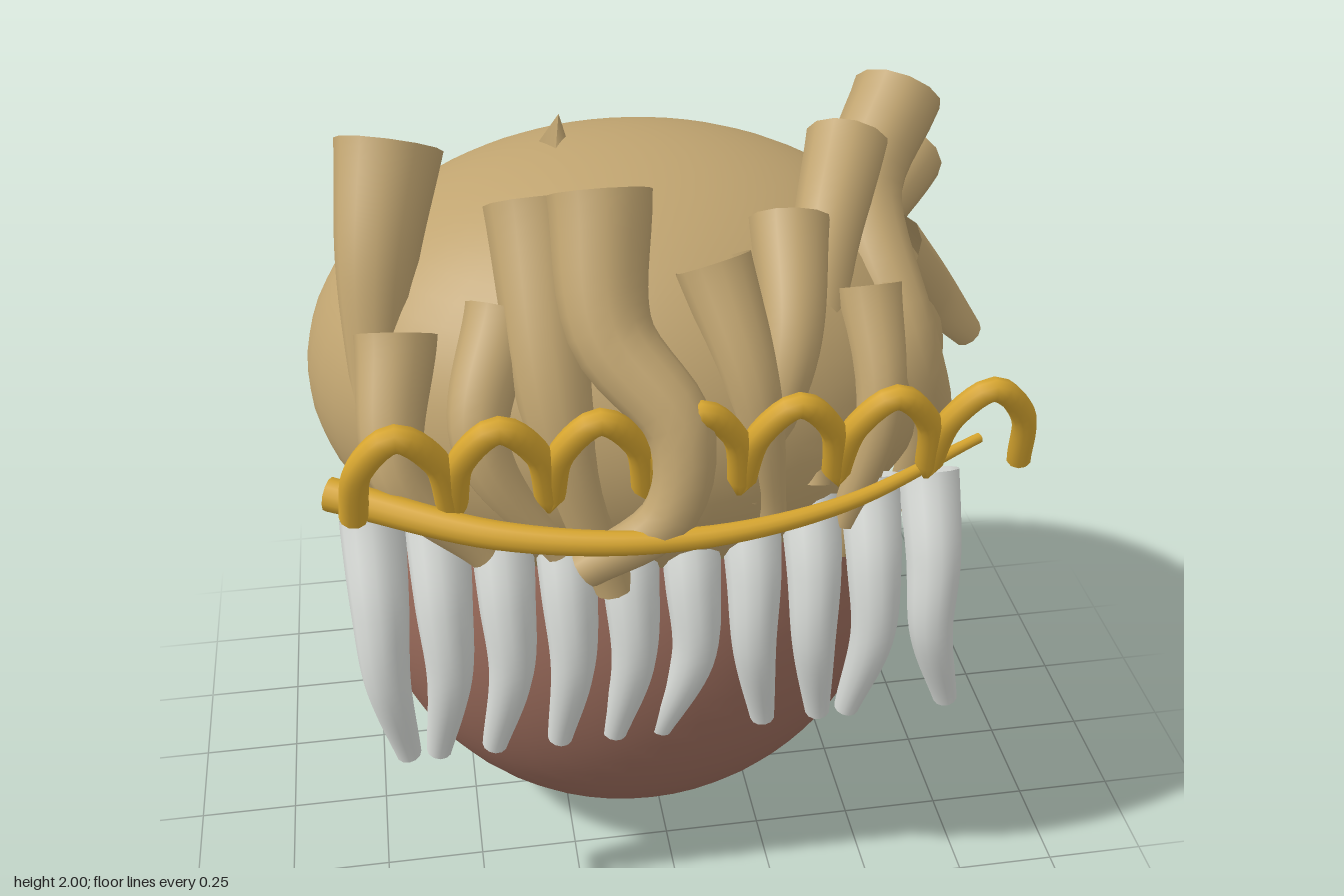
import * as THREE from 'three';

const paint = (name, color, side = THREE.FrontSide) => {
  const m = new THREE.MeshStandardMaterial({ color, side });
  m.name = name;
  return m;
};

// Open tube through the points whose radius runs from r0 to r1; bulge above 1 keeps it thick for longer
function taperedTube(points, r0, r1, { segments = 24, sides = 12, bulge = 1 } = {}) {
  const curve = new THREE.CatmullRomCurve3(points.map((p) => new THREE.Vector3(...p)));
  const geo = new THREE.TubeGeometry(curve, segments, 1, sides, false);
  const pos = geo.attributes.position;
  const v = new THREE.Vector3();
  for (let i = 0; i <= segments; i++) {
    const t = i / segments;
    const c = curve.getPointAt(t);
    const r = r0 + (r1 - r0) * Math.pow(t, bulge);
    for (let j = 0; j <= sides; j++) {
      const k = i * (sides + 1) + j;
      v.fromBufferAttribute(pos, k).sub(c).multiplyScalar(r).add(c);
      pos.setXYZ(k, v.x, v.y, v.z);
    }
  }
  return geo;
}

export function createModel() {
  const model = new THREE.Group();
  const skin = paint('skin', 0x9a6b5b);
  const hair = paint('hair', 0xc0a470, THREE.DoubleSide);
  const beard = paint('beard', 0xd6d9d5, THREE.DoubleSide);
  const gold = paint('gold', 0xd6a52f, THREE.DoubleSide);

  const add = (name, geo, mat, parent = model) => {
    const mesh = new THREE.Mesh(geo, mat);
    mesh.name = name;
    parent.add(mesh);
    return mesh;
  };
  const group = (name) => {
    const g = new THREE.Group();
    g.name = name;
    model.add(g);
    return g;
  };
  const ellipsoid = (name, mat, center, radii) => {
    const mesh = add(name, new THREE.SphereGeometry(1, 48, 32), mat);
    mesh.position.set(...center);
    mesh.scale.set(...radii);
  };

  // Head and hair cap
  ellipsoid('head', skin, [-0.045, 0.735, -0.075], [0.69, 0.73, 0.56]);
  ellipsoid('hairCap', hair, [-0.045, 1.33, -0.1], [0.775, 0.54, 0.62]);

  // Hair strands: root radius, then the path from root to tip
  const strandGroup = group('hairStrands');
  const strand = (name, radius, ...path) =>
    add(name, taperedTube(path, radius, radius * 0.4), hair, strandGroup);
  strand('rightCrownStrand', 0.12, [-0.58, 1.93, -0.03], [-0.63, 1.7, 0.1], [-0.66, 1.35, 0.2]);
  strand('rightTempleStrand', 0.09, [-0.6, 1.63, 0.28], [-0.62, 1.38, 0.44], [-0.45, 1.15, 0.45]);
  strand('rightBrowStrand', 0.09, [-0.36, 1.67, 0.28], [-0.44, 1.44, 0.43], [-0.28, 1.15, 0.46]);
  strand('middleStrand', 0.115, [-0.28, 1.88, 0.2], [-0.27, 1.5, 0.43], [-0.16, 1.04, 0.47]);
  strand('forelock', 0.11, [-0.16, 1.95, 0.32], [-0.16, 1.7, 0.46], [-0.03, 1.52, 0.58],
    [-0.06, 1.34, 0.62], [-0.24, 1.2, 0.6]);
  strand('innerBrowStrand', 0.085, [0.08, 1.77, 0.32], [0.15, 1.52, 0.45], [0.2, 1.2, 0.46]);
  strand('leftBrowStrand', 0.09, [0.27, 1.8, 0.2], [0.24, 1.58, 0.39], [0.14, 1.25, 0.46]);
  strand('leftTempleStrand', 0.075, [0.44, 1.66, 0.27], [0.45, 1.42, 0.4], [0.38, 1.12, 0.41]);
  strand('leftCrownStrand', 0.105, [0.6, 1.93, -0.15], [0.49, 1.76, 0], [0.55, 1.5, 0.22],
    [0.63, 1.25, 0.2], [0.62, 0.95, 0.11]);
  strand('leftLowerStrand', 0.09, [0.64, 1.76, -0.17], [0.42, 1.62, 0.12], [0.45, 1.4, 0.34], [0.4, 0.99, 0.34]);
  strand('leftUpperStrand', 0.095, [0.45, 1.88, -0.02], [0.35, 1.68, 0.2], [0.3, 1.25, 0.43]);
  strand('leftSideStrand', 0.095, [0.53, 1.64, 0.08], [0.65, 1.51, 0.02], [0.785, 1.35, -0.01]);

  // Small tufts poking through the cap
  const tuft = (name, position, tilt) => {
    const mesh = add(name, new THREE.ConeGeometry(0.06, 0.1, 3), hair, strandGroup);
    mesh.position.set(...position);
    mesh.rotation.set(-0.4, 0, tilt);
  };
  tuft('topTuft', [-0.2, 1.865, -0.17], -0.2);
  tuft('rightTuft', [-0.69, 1.58, -0.25], 0.5);

  // Evenly spaced beard locks whose tips drift sideways
  const beardGroup = group('beardLocks');
  const tipDrift = [0.03, -0.04, -0.05, -0.035, -0.045, -0.075, 0.035, 0.03, -0.04, 0.07];
  tipDrift.forEach((drift, i) => {
    const x = -0.69 + i * 0.143;
    const path = [[x, 1.2, 0.345], [x, 1.02, 0.445], [x, 0.84, 0.482], [x + drift, 0.58, 0.45]];
    add('beardLock' + (i + 1), taperedTube(path, 0.073, 0.03, { bulge: 1.5 }), beard, beardGroup);
  });

  // Headband, thinning toward one end
  const bandPath = [-1, -0.5, 0, 0.5, 1].map((s) => [-0.05 + 0.72 * s, 1.3 + 0.05 * s * s, 0.66 - 0.21 * s * s]);
  add('headband', taperedTube(bandPath, 0.038, 0.012, { segments: 40 }), gold);

  // Row of arches in one continuous wire
  const wire = [];
  const arches = 7, pitch = 0.208, start = -0.72;
  for (let i = 0; i < arches; i++) {
    const x = start + i * pitch;
    wire.push([x, 1.34, 0.53], [x + 0.025, 1.49, 0.575], [x + pitch / 2, 1.57, 0.595],
      [x + pitch - 0.025, 1.49, 0.575]);
  }
  wire.push([start + arches * pitch, 1.34, 0.53]);
  add('crownArches', taperedTube(wire, 0.031, 0.027, { segments: 168, sides: 10 }), gold);

  return model;
}
